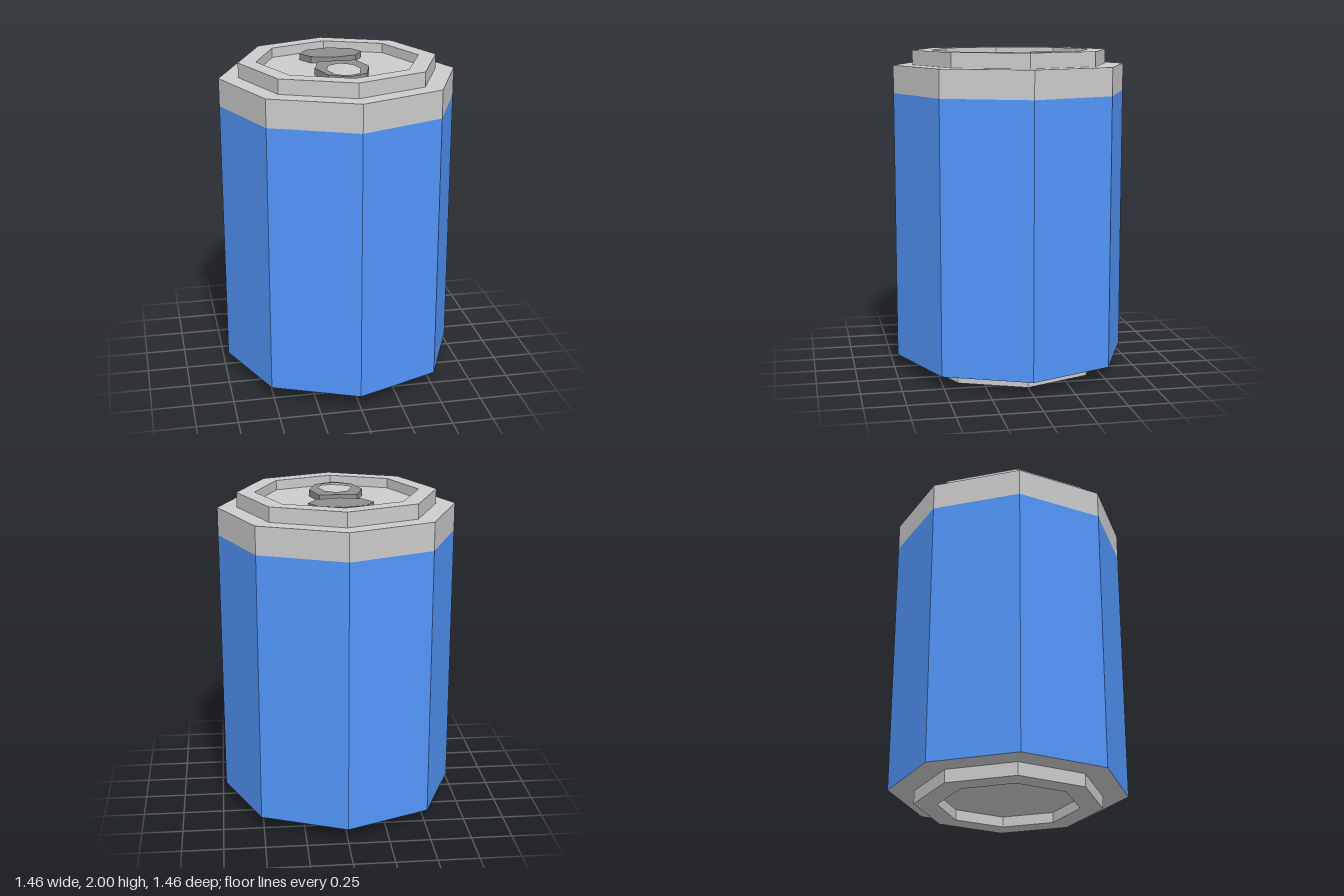
import * as THREE from 'three';

const SIDES = 8;

function material(color) {
  return new THREE.MeshStandardMaterial({ color, flatShading: true });
}

// Eight-sided turned part from [radius, height] pairs, listed bottom to top
function turned(name, profile, mat) {
  const points = profile.map(([r, y]) => new THREE.Vector2(r, y));
  const mesh = new THREE.Mesh(new THREE.LatheGeometry(points, SIDES), mat);
  mesh.name = name;
  return mesh;
}

// Closed outline mirrored in x, from the right-hand [x, z] points, back to front
function outline(half) {
  const right = half.map(([x, z]) => new THREE.Vector2(x, -z));
  const left = half.filter(([x]) => x > 0).reverse().map(([x, z]) => new THREE.Vector2(-x, -z));
  return [...right, ...left];
}

// Flat plate lying on the lid, with an optional hole
function plate(name, half, holeHalf, y, height, mat) {
  const shape = new THREE.Shape(outline(half));
  if (holeHalf) shape.holes.push(new THREE.Path(outline(holeHalf)));
  const geometry = new THREE.ExtrudeGeometry(shape, { depth: height, bevelEnabled: false });
  geometry.rotateX(-Math.PI / 2);
  const mesh = new THREE.Mesh(geometry, mat);
  mesh.name = name;
  mesh.position.y = y;
  return mesh;
}

export function createModel() {
  const can = new THREE.Group();
  can.name = 'drinkCan';
  const metal = material(0xcccccc);
  const darkMetal = material(0x8e8e8e);
  const blue = material(0x5296fa);

  const R = 0.728, bottomY = 0.08, bandY = 1.74, shoulderY = 1.91, lidY = 1.94;

  // Recessed base with its standing ring
  can.add(turned('base', [[0, 0.065], [0.43, 0.065], [0.43, 0], [0.57, 0], [0.57, bottomY], [R, bottomY]], metal));

  // Painted wall
  can.add(turned('body', [[R, bottomY], [R, bandY]], blue));

  // Bare band, shoulder, raised rim and sunken lid
  can.add(turned('lid', [[R, bandY], [R, shoulderY], [0.61, shoulderY], [0.61, 2], [0.5, 2], [0.5, lidY], [0, lidY]], metal));

  // Mouth panel towards the back
  can.add(plate('mouth', [[0, -0.39], [0.14, -0.35], [0.195, -0.255], [0.14, -0.158], [0, -0.118]],
    null, lidY, 0.04, darkMetal));

  // Pull tab with finger hole towards the front
  const tab = plate('pullTab',
    [[0, -0.026], [0.115, -0.032], [0.165, 0.14], [0.115, 0.315], [0, 0.385]],
    [[0, 0.048], [0.072, 0.092], [0.101, 0.195], [0.072, 0.312], [0, 0.345]],
    lidY, 0.04, darkMetal);
  tab.position.x = -0.004;
  can.add(tab);

  return can;
}
